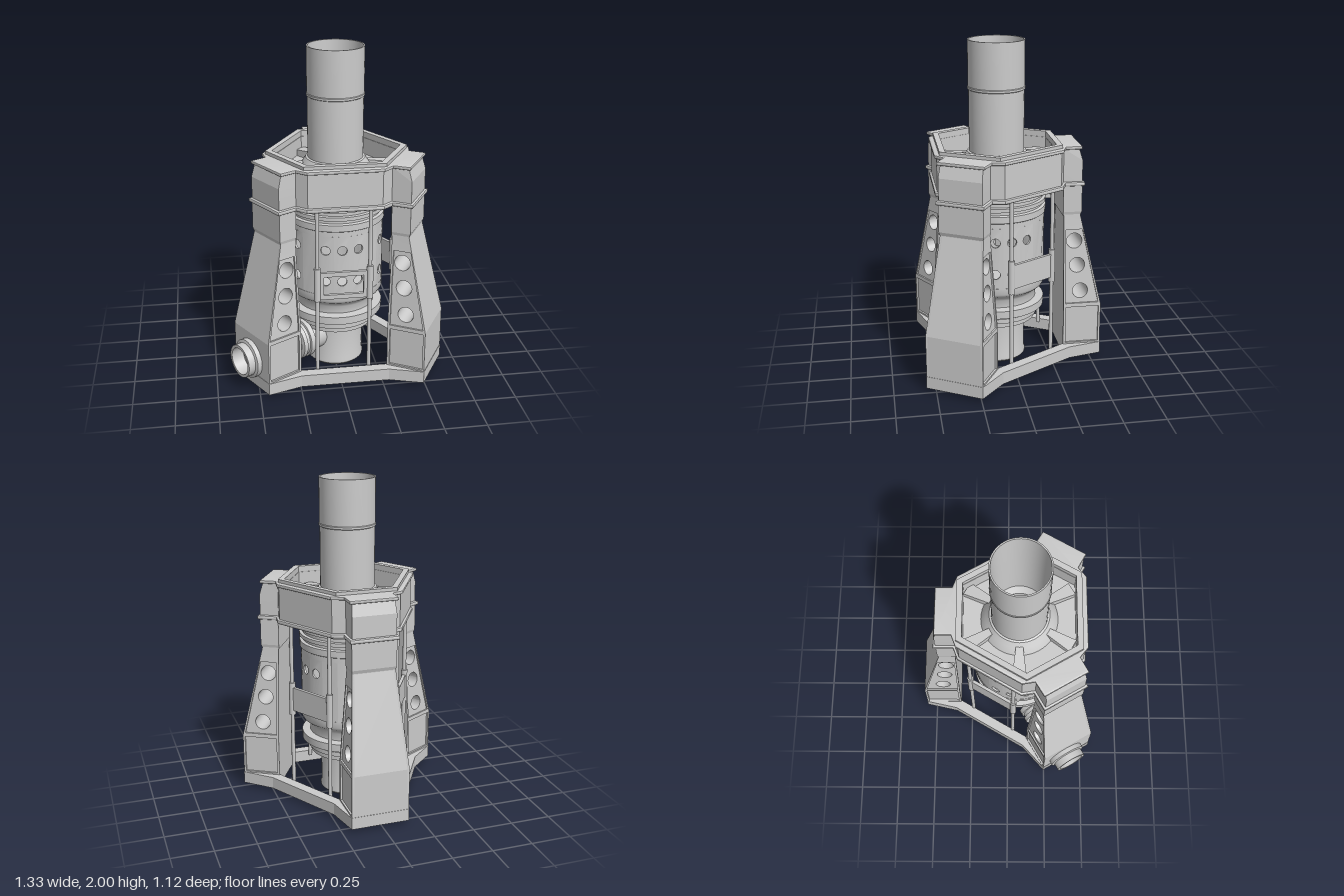
import * as THREE from 'three';
import { toCreasedNormals } from 'three/addons/utils/BufferGeometryUtils.js';

const grey = new THREE.MeshStandardMaterial({ color: 0xcccccc });
const thin = new THREE.MeshStandardMaterial({ color: 0xcccccc, side: THREE.DoubleSide });
const THIRD = Math.PI * 2 / 3;
const LEGS = [-Math.PI / 3, Math.PI / 3, Math.PI];

function add(parent, name, geo, x = 0, y = 0, z = 0, mat = grey) {
  const m = new THREE.Mesh(geo, mat);
  m.name = name;
  m.position.set(x, y, z);
  parent.add(m);
  return m;
}
const v2 = a => a.map(([x, y]) => new THREE.Vector2(x, y));
const crease = (g, a = 0.6) => toCreasedNormals(g, a);
const lathe = (pts, seg = 48) => crease(new THREE.LatheGeometry(v2(pts), seg));
const circle = (x, y, r) => new THREE.Path().absarc(x, y, r, 0, Math.PI * 2, true);

// Three-fold outline from half a leg's plan, given as [half width, radius]
function outline(half) {
  const seq = [...half.map(([w, r]) => [-w, r]), ...half.slice().reverse()];
  return LEGS.flatMap(a => seq.map(([w, r]) => [
    w * Math.cos(a) + r * Math.sin(a), w * Math.sin(a) - r * Math.cos(a)]));
}
// Upright prism from a plan with a hole
function prism(outer, inner, height, options = {}) {
  const s = new THREE.Shape(v2(outer));
  if (inner) s.holes.push(new THREE.Path(v2(inner)));
  return new THREE.ExtrudeGeometry(s, { depth: height, bevelEnabled: false, ...options }).rotateX(-Math.PI / 2);
}
function reshape(geo, rule) {
  const p = geo.attributes.position;
  for (let i = 0; i < p.count; i++) p.setXYZ(i, ...rule(p.getX(i), p.getY(i), p.getZ(i), i));
  geo.computeVertexNormals();
  return geo;
}

// Half width of a leg at height y
const legHalf = y => THREE.MathUtils.lerp(0.179, 0.134, THREE.MathUtils.clamp((y - 0.36) / 0.58, 0, 1));

function makeLeg() {
  const leg = new THREE.Group();
  leg.name = 'leg';
  const rim = [[0.641, 0.025], [0.641, 0.36], [0.508, 0.94], [0.508, 1.13]];
  const holes = [[0.473, 0.776], [0.491, 0.62], [0.511, 0.453]];

  // side frames with two windows, and recessed panels with round holes
  const frame = new THREE.Shape(v2([[0.405, 0.025], ...rim, [0.405, 1.13], [0.405, 0.94], [0.405, 0.36]]));
  frame.holes.push(new THREE.Path(v2([[0.42, 0.11], [0.42, 0.35], [0.628, 0.35], [0.628, 0.11]])));
  frame.holes.push(new THREE.Path(v2([[0.418, 0.375], [0.418, 0.85], [0.522, 0.85], [0.625, 0.375]])));
  const lower = new THREE.Shape(v2([[0.41, 0.1], [0.636, 0.1], [0.636, 0.36], [0.41, 0.36]]));
  const upper = new THREE.Shape(v2([[0.41, 0.36], [0.636, 0.36], [0.52, 0.88], [0.41, 0.88]]));
  for (const [r, y] of holes) upper.holes.push(circle(r, y, 0.048));
  const sides = [['legSideFrame', frame, 0.014, 0.014], ['legLowerPanel', lower, 0.008, 0.02], ['legHolePanel', upper, 0.008, 0.018]];
  for (const [name, shape, depth, inset] of sides) {
    const flat = new THREE.ExtrudeGeometry(shape, { depth, bevelEnabled: false, curveSegments: 24 });
    const geo = crease(reshape(flat, (r, y, d) => [-(legHalf(y) - inset + d), y, r]));
    add(leg, name, geo);
    add(leg, name, geo).scale.x = -1;
  }
  // tubes joining opposite holes
  for (const [r, y] of holes) {
    const tube = new THREE.CylinderGeometry(0.048, 0.048, 2, 32, 1, true).rotateZ(Math.PI / 2);
    reshape(tube, (x, dy, dz) => [Math.sign(x) * (legHalf(y + dy) - 0.012), y + dy, r + dz]);
    add(leg, 'legTube', tube, 0, 0, 0, thin);
  }

  // outer and inner walls
  const wall = radii => reshape(new THREE.PlaneGeometry(1, 1, 1, 3), (x, _, __, i) => {
    const k = 3 - (i >> 1), y = rim[k][1];
    return [Math.sign(x) * (legHalf(y) - 0.001), y, radii[k]];
  });
  add(leg, 'legOuterWall', crease(wall(rim.map(p => p[0])), 0.1), 0, 0, 0, thin);
  add(leg, 'legInnerWall', wall([0.407, 0.407, 0.407, 0.407]), 0, 0, 0, thin);

  // shoulder block, narrowing at its foot
  const plan = [[-0.138, -0.4], [-0.138, -0.515], [0.138, -0.515], [0.138, -0.4]];
  const shoulder = reshape(prism(plan, null, 0.19, { steps: 8 }), (x, y, z) =>
    y < 0.01 ? [x * 0.96, y, Math.min(z, 0.507)] : [x, y, z]);
  add(leg, 'legShoulder', crease(shoulder, 0.2), 0, 0.94, 0);
  return leg;
}

// One twenty-degree piece of the drum wall, with or without its two holes, bent round the axis
function drumPiece(R, y0, y1, pierced) {
  const h = Math.PI / 18, s = new THREE.Shape();
  const cols = [-1, -0.5, 0, 0.5, 1].map(k => k * h * R);
  s.setFromPoints(v2([...cols.map(x => [x, y0]), ...cols.slice().reverse().map(x => [x, y1])]));
  if (pierced) s.holes.push(circle(0, 0.84, 0.029), circle(0, 0.64, 0.029));
  const g = new THREE.ExtrudeGeometry(s, { depth: 0.012, bevelEnabled: false, curveSegments: 10 });
  return crease(reshape(g, (x, y, z) => {
    const r = R - 0.012 + z;
    return [r * Math.sin(x / R), y, r * Math.cos(x / R)];
  }));
}

export function createModel() {
  const model = new THREE.Group();
  model.name = 'tower';
  const frame = new THREE.Group();
  frame.name = 'frame';
  frame.position.set(0.018, 0, 0.08);
  const core = new THREE.Group();
  core.name = 'core';
  core.position.set(0.016, 0, 0.067);
  model.add(frame, core);

  // legs and base
  for (const a of LEGS) {
    const leg = makeLeg();
    leg.rotation.y = a;
    frame.add(leg);
  }
  add(frame, 'baseFrame', prism(outline([[0.225, 0.437], [0.18, 0.643]]), outline([[0.167, 0.41]]), 0.075), 0, 0.025);

  // hexagonal crown with sloping leg heads, two rounded bands and a top rim
  const crown = [[0.21, 0.37], [0.135, 0.398], [0.135, 0.515]];
  const crownTop = [[0.21, 0.37], [0.135, 0.398], [0.133, 0.494]];
  const opening = outline([[0.168, 0.345]]);
  const ring = reshape(prism(outline(crown), opening, 0.23, { steps: 3 }), (x, y, z) =>
    y > 0.2 && Math.hypot(x, z) > 0.5 ? [x * 0.957, y, z * 0.957] : [x, y, z]);
  add(frame, 'crownRing', crease(ring, 0.1), 0, 1.13);
  const bevel = { bevelEnabled: true, bevelSize: 0.014, bevelThickness: 0.008, bevelSegments: 3 };
  const bandHole = outline([[0.178, 0.36]]);
  add(frame, 'lowerBand', crease(prism(outline(crown), bandHole, 0.012, bevel)), 0, 1.134);
  add(frame, 'upperBand', crease(prism(outline(crownTop), bandHole, 0.008, bevel)), 0, 1.362);
  add(frame, 'topRim', prism(outline([[0.187, 0.38]]), opening, 0.033), 0, 1.365);

  // crown floor with six spokes and a flared collar
  add(frame, 'crownFloor', prism(opening, null, 0.02), 0, 1.235);
  for (let i = 0; i < 6; i++) {
    const spoke = new THREE.Group();
    spoke.name = 'spoke';
    spoke.rotation.y = i * Math.PI / 3;
    const g = reshape(new THREE.BoxGeometry(0.19, 0.05, 0.06), (x, y, z) => [x, y - x * 0.1, z * (1 + x * 4)]);
    add(spoke, 'spokeArm', crease(g, 0.1), 0.265, 1.275);
    core.add(spoke);
  }
  add(core, 'collar', lathe([[0.23, 1.25], [0.225, 1.265], [0.2, 1.3], [0.178, 1.335], [0.165, 1.34]]));

  // open stack
  add(core, 'stack', lathe([
    [0.166, 1.1], [0.166, 1.708], [0.172, 1.712], [0.172, 1.724], [0.169, 1.728], [0.169, 2], [0.16, 2],
    [0.152, 1.72], [0.15, 1.4], [0.12, 1.36], [0.12, 1.12], [0, 1.12]]));

  // lower column and flanges
  add(core, 'lowerColumn', lathe([
    [0, 0], [0.16, 0], [0.175, 0.015], [0.175, 0.028], [0.17, 0.045], [0.17, 0.265], [0.235, 0.27],
    [0.235, 0.3], [0.25, 0.302], [0.25, 0.33], [0.235, 0.332], [0.235, 0.35], [0.29, 0.352], [0.29, 0.4],
    [0.24, 0.405], [0.24, 0.45], [0.252, 0.47], [0.285, 0.495], [0.292, 0.51], [0.292, 0.55], [0.28, 0.55], [0, 0.5]]));
  // drum wall, pierced except behind the guide rods
  const pierced = drumPiece(0.29, 0.55, 0.93, true);
  const plain = drumPiece(0.29, 0.55, 0.93, false);
  for (let i = 0; i < 18; i++) {
    const blank = [2, 7, 8, 10, 11, 16].includes(i);
    add(core, 'drumWall', blank ? plain : pierced).rotation.y = i * Math.PI / 9;
  }
  // banded head of the drum
  add(core, 'drumHead', lathe([
    [0, 0.95], [0.27, 0.93], [0.29, 0.93], [0.29, 0.96], [0.298, 0.965], [0.298, 1.005], [0.28, 1.01], [0.28, 1.03],
    [0.3, 1.032], [0.3, 1.055], [0.28, 1.057], [0.28, 1.08], [0.3, 1.082], [0.3, 1.105], [0.28, 1.107], [0.28, 1.24], [0, 1.24]]));
  for (const y of [1.04, 1.105]) add(core, 'headBracket', new THREE.BoxGeometry(0.08, 0.025, 0.07), 0, y, -0.31);

  // guide rods in pairs, with sleeves and a plate or an open frame between
  for (let i = 0; i < 3; i++) {
    const set = new THREE.Group();
    set.name = 'guideRods';
    set.rotation.y = i * THIRD;
    for (const s of [-1, 1]) {
      add(set, 'rod', new THREE.CylinderGeometry(0.012, 0.012, 1.1, 16), s * 0.157, 0.63, 0.337);
      add(set, 'sleeve', new THREE.CylinderGeometry(0.02, 0.02, 0.21, 20), s * 0.157, 0.655, 0.337);
    }
    if (i === 0) {
      for (const y of [0.572, 0.717]) add(set, 'crossBar', new THREE.BoxGeometry(0.3, 0.028, 0.02), 0, y, 0.337);
      for (const s of [-1, 1]) add(set, 'sideBar', new THREE.BoxGeometry(0.022, 0.15, 0.02), s * 0.13, 0.645, 0.337);
    } else {
      add(set, 'crossPlate', new THREE.BoxGeometry(0.3, 0.15, 0.02), 0, 0.655, 0.337);
    }
    core.add(set);
  }

  // outlet pipe through one leg, open at its end
  const outlet = new THREE.Group();
  outlet.name = 'outlet';
  outlet.rotation.y = -Math.PI / 3;
  const pipe = lathe([
    [0.095, 0.1], [0.095, 0.24], [0.12, 0.243], [0.12, 0.275], [0.108, 0.278], [0.108, 0.3], [0.12, 0.303],
    [0.12, 0.33], [0.095, 0.335], [0.095, 0.63], [0.12, 0.632], [0.12, 0.675], [0.102, 0.68], [0.102, 0.725],
    [0.084, 0.725], [0.08, 0.5], [0, 0.5]], 40).rotateX(Math.PI / 2);
  add(outlet, 'outletPipe', pipe, 0, 0.195, 0);
  core.add(outlet);
  return model;
}
